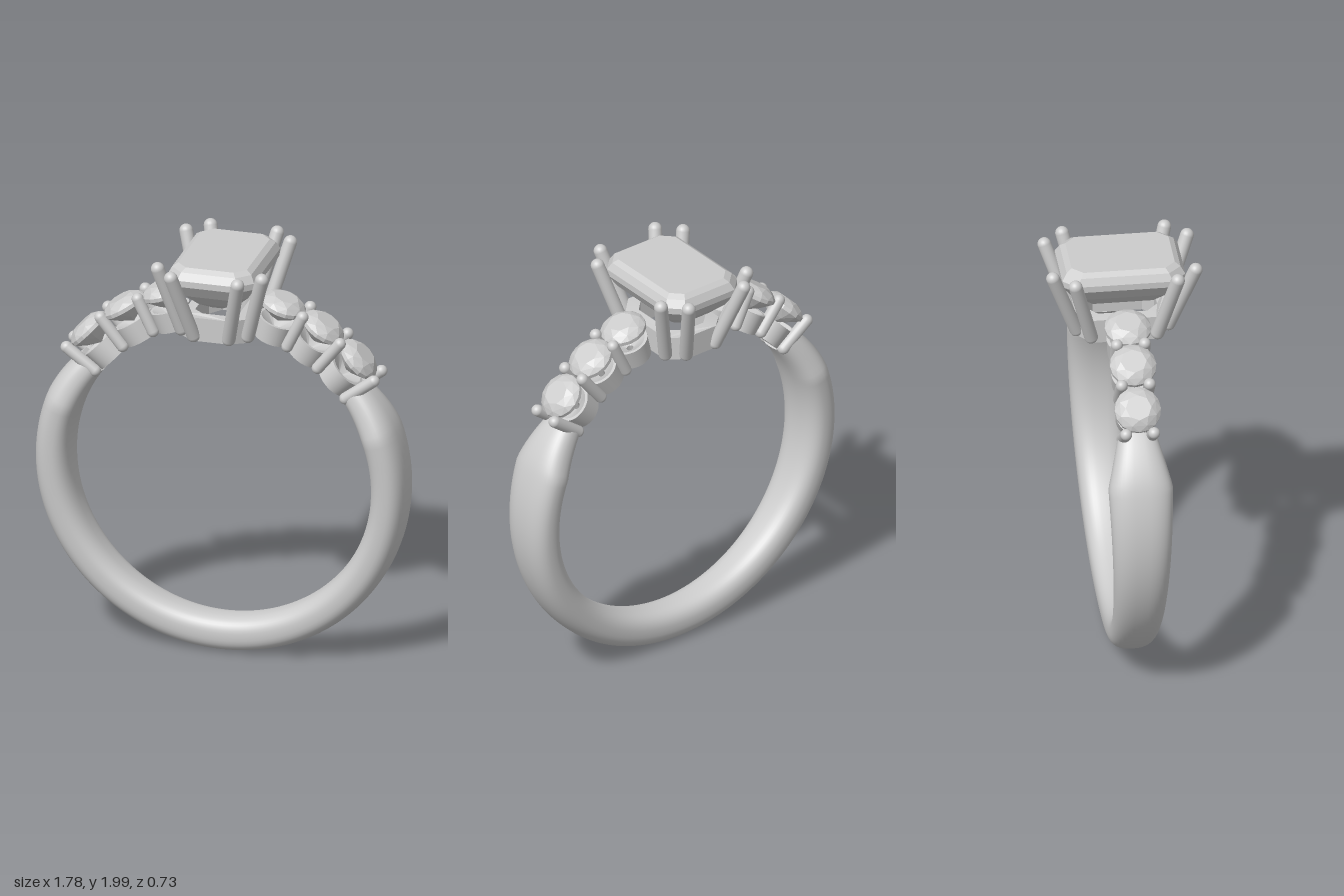
import * as THREE from 'three';
import { toCreasedNormals } from 'three/addons/utils/BufferGeometryUtils.js';
import { ConvexGeometry } from 'three/addons/geometries/ConvexGeometry.js';

const CENTER_Y = 0.9, INNER = 0.72, OUTER = 0.89;
const rad = THREE.MathUtils.degToRad;
const metal = new THREE.MeshStandardMaterial({ color: 0xcccccc });
const gem = new THREE.MeshStandardMaterial({ color: 0xcccccc, flatShading: true });

function part(parent, name, geometry, material = metal) {
  const mesh = new THREE.Mesh(geometry, material);
  mesh.name = name;
  parent.add(mesh);
  return mesh;
}

// Round-ended rod between two points
function prong(parent, name, a, b, r) {
  const from = new THREE.Vector3(...a), to = new THREE.Vector3(...b);
  const dir = to.clone().sub(from);
  const mesh = part(parent, name, new THREE.CapsuleGeometry(r, dir.length(), 8, 20));
  mesh.position.copy(from).add(to).multiplyScalar(0.5);
  mesh.quaternion.setFromUnitVectors(new THREE.Vector3(0, 1, 0), dir.normalize());
}

// Band: rounded section swept round the finger, widest at the shoulders
function bandGeometry() {
  const sides = 40, steps = 128, start = rad(142.5), end = rad(397.5);
  const stations = [[start, 0], [start, 1]];
  for (let i = 0; i <= steps; i++) stations.push([start + (end - start) * i / steps, 1]);
  stations.push([end, 1], [end, 0]);
  const soft = (v, p) => Math.sign(v) * Math.abs(v) ** p;
  const pos = [], index = [];
  stations.forEach(([phi, scale], i) => {
    const elevation = THREE.MathUtils.radToDeg(Math.asin(Math.sin(phi)));
    const shoulder = THREE.MathUtils.clamp((elevation - 20) / 17.5, 0, 1);
    let width = 0.095 + 0.055 * Math.min(1, (Math.sin(phi) + 1) / 1.34) ** 0.85;
    width = THREE.MathUtils.lerp(width, 0.088, shoulder);
    const outer = OUTER - 0.04 * shoulder ** 1.5;
    const mid = (INNER + outer) / 2, half = (outer - INNER) / 2;
    for (let j = 0; j < sides; j++) {
      const t = j / sides * Math.PI * 2;
      const r = mid + scale * half * soft(Math.cos(t), 0.85);
      pos.push(r * Math.cos(phi), CENTER_Y + r * Math.sin(phi), scale * width * soft(Math.sin(t), 0.75));
      if (i === stations.length - 1) continue;
      const k = (j + 1) % sides, a = i * sides, b = a + sides;
      index.push(a + j, b + j, b + k, a + j, b + k, a + k);
    }
  });
  const g = new THREE.BufferGeometry();
  g.setAttribute('position', new THREE.Float32BufferAttribute(pos, 3));
  g.setIndex(index);
  g.computeVertexNormals();
  return g;
}

// Round brilliant, girdle near y = 0
function brilliantGeometry() {
  const pts = [];
  const ring = (r, y, n, turn = 0) => {
    for (let i = 0; i < n; i++) {
      const a = (i + turn) / n * Math.PI * 2;
      pts.push(new THREE.Vector3(r * Math.cos(a), y, r * Math.sin(a)));
    }
  };
  ring(0.06, 0.045, 8);
  ring(0.09, 0.029, 8, 0.5);
  ring(0.108, 0.008, 16);
  ring(0.108, -0.01, 16);
  ring(0.06, -0.05, 8, 0.5);
  pts.push(new THREE.Vector3(0, -0.085, 0));
  return new ConvexGeometry(pts);
}

// Corner points of a rectangle with cut corners
function cutRect(x, z, c) {
  return [[x, z - c], [x - c, z], [c - x, z], [-x, z - c], [-x, c - z], [c - x, -z], [x - c, -z], [x, c - z]];
}

// Step-cut centre stone
function stepCutGeometry() {
  const levels = [
    [0.165, 0.24, 0.05, 1.992], [0.19, 0.265, 0.06, 1.975], [0.208, 0.286, 0.065, 1.94],
    [0.208, 0.286, 0.065, 1.91], [0.17, 0.245, 0.055, 1.85], [0.11, 0.18, 0.04, 1.79], [0.04, 0.11, 0.015, 1.75],
  ];
  return new ConvexGeometry(levels.flatMap(([x, z, c, y]) =>
    cutRect(x, z, c).map(([px, pz]) => new THREE.Vector3(px, y, pz))));
}

// Open basket frame, curved to follow the finger hole
function basketGeometry() {
  const points = (x, z, c) => cutRect(x, z, c).map(p => new THREE.Vector2(...p));
  const shape = new THREE.Shape(points(0.155, 0.22, 0.07));
  shape.holes.push(new THREE.Path(points(0.105, 0.165, 0.05).reverse()));
  const g = new THREE.ExtrudeGeometry(shape, { depth: 0.115, bevelEnabled: false });
  g.rotateX(-Math.PI / 2);
  const p = g.attributes.position;
  for (let i = 0; i < p.count; i++) {
    const r = INNER + 0.005 + p.getY(i);
    p.setY(i, CENTER_Y + Math.sqrt(r * r - p.getX(i) ** 2));
  }
  return toCreasedNormals(g, 0.4);
}

export function createModel() {
  const model = new THREE.Group();
  model.name = 'ring';
  part(model, 'band', bandGeometry());

  // Cup with a small drilled hole under each side stone
  const cup = toCreasedNormals(new THREE.LatheGeometry(
    [[0.016, 0], [0.088, 0], [0.096, 0.1], [0.082, 0.1], [0.016, 0.05], [0.016, 0]]
      .map(p => new THREE.Vector2(...p)), 36), 0.6);
  const brilliant = brilliantGeometry();

  for (const side of [1, -1]) {
    const shoulder = new THREE.Group();
    shoulder.name = side > 0 ? 'leftShoulder' : 'rightShoulder';
    model.add(shoulder);

    // Arm at the ring centre whose y axis points outwards
    const radialArm = (name, elevation) => {
      const arm = new THREE.Group();
      arm.name = name;
      arm.position.y = CENTER_Y;
      arm.rotation.z = -side * rad(90 - elevation);
      shoulder.add(arm);
      return arm;
    };
    for (const elevation of [44, 58, 71.5]) {
      const arm = radialArm('sideStoneSetting', elevation);
      part(arm, 'stoneCup', cup).position.y = INNER + 0.005;
      part(arm, 'sideStone', brilliant, gem).position.y = 0.9;
    }
    for (const elevation of [36.7, 51.3, 64.5]) {
      const arm = radialArm('sideProngs', elevation);
      for (const z of [0.065, -0.065]) prong(arm, 'sideProng', [0, 0.75, z], [0, 0.92, z], 0.028);
    }
  }

  // Centre setting with a pair of prongs at each corner
  const centre = new THREE.Group();
  centre.name = 'centreSetting';
  model.add(centre);
  part(centre, 'centreStone', stepCutGeometry(), gem);
  part(centre, 'basket', basketGeometry());
  for (const sx of [1, -1]) for (const sz of [1, -1]) {
    prong(centre, 'cornerProng', [sx * 0.085, 1.645, sz * 0.215], [sx * 0.16, 1.968, sz * 0.332], 0.032);
    prong(centre, 'cornerProng', [sx * 0.16, 1.645, sz * 0.155], [sx * 0.25, 1.968, sz * 0.238], 0.032);
  }
  return model;
}
